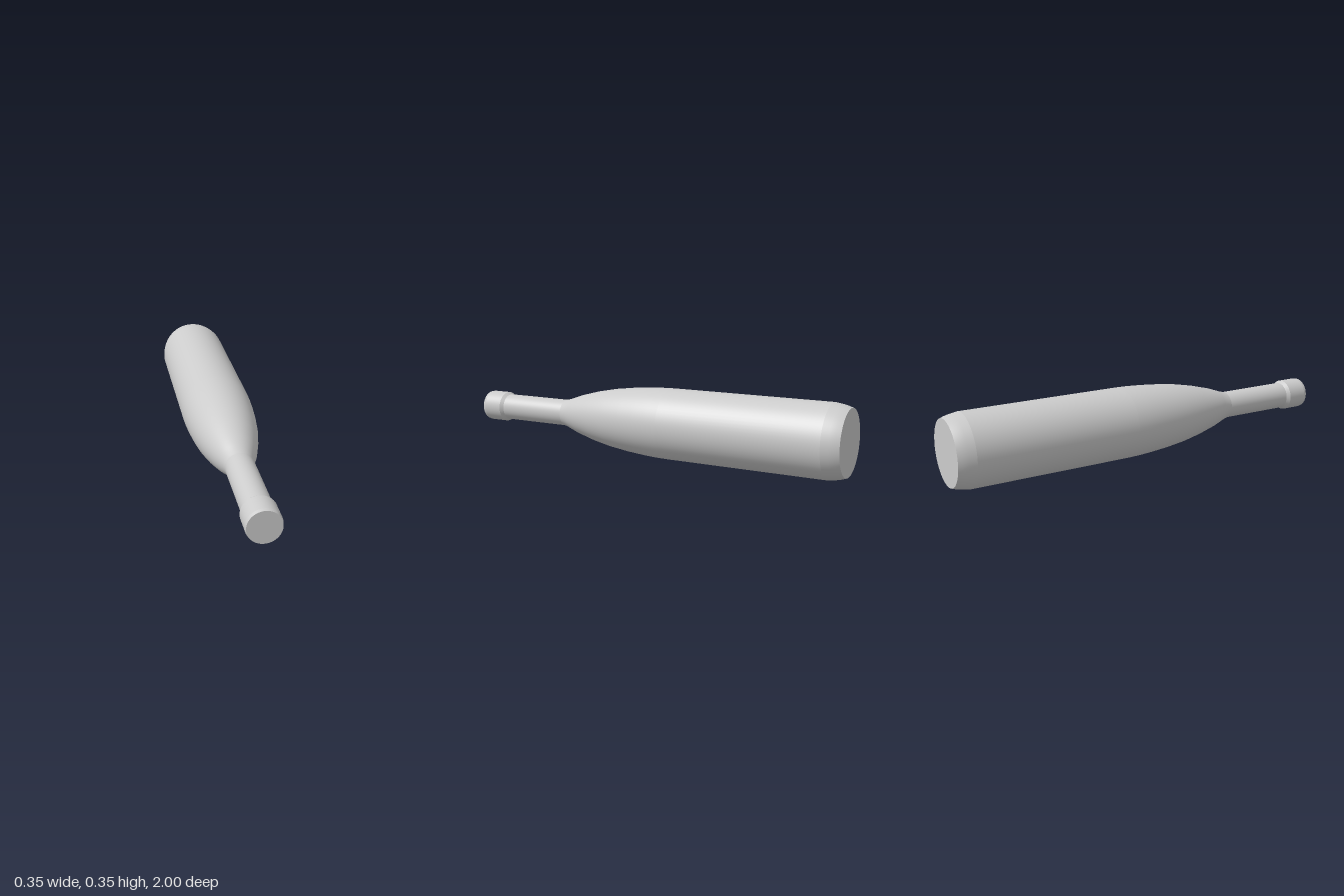
import * as THREE from 'three';

const SEGMENTS = 64;
const material = new THREE.MeshStandardMaterial({ color: 0xcccccc });

// Turned section: [radius, z] pairs running from the base to the mouth
function turned(name, profile) {
  const points = profile.map(([r, z]) => new THREE.Vector2(r, z));
  const geometry = new THREE.LatheGeometry(points, SEGMENTS).rotateX(Math.PI / 2);
  const mesh = new THREE.Mesh(geometry, material);
  mesh.name = name;
  return mesh;
}

// Flat end disc, facing +z or -z
function disc(name, radius, z) {
  const geometry = new THREE.CircleGeometry(radius, SEGMENTS);
  if (z < 0) geometry.rotateY(Math.PI);
  const mesh = new THREE.Mesh(geometry, material);
  mesh.name = name;
  mesh.position.z = z;
  return mesh;
}

export function createModel() {
  const bottle = new THREE.Group();
  bottle.name = 'bottle';
  bottle.add(
    disc('base', 0.155, -1),
    // Rounded heel between base and body
    turned('heel', [[0.155, -1], [0.162, -0.98], [0.168, -0.955], [0.1735, -0.92]]),
    turned('body', [[0.1735, -0.92], [0.1735, -0.12]]),
    // Long shoulder tapering into the neck
    turned('shoulder', [
      [0.1735, -0.12], [0.172, -0.06], [0.168, 0.01], [0.16, 0.1], [0.147, 0.2],
      [0.127, 0.3], [0.1, 0.4], [0.082, 0.45], [0.073, 0.475], [0.067, 0.5],
    ]),
    turned('neck', [[0.067, 0.5], [0.067, 0.87]]),
    // Thicker collar around the mouth
    turned('lipStep', [[0.067, 0.87], [0.078, 0.888]]),
    turned('lip', [[0.078, 0.888], [0.078, 0.985]]),
    turned('lipBevel', [[0.078, 0.985], [0.0745, 1]]),
    disc('mouth', 0.0745, 1),
  );
  // Lying on its side
  bottle.position.y = 0.176;

  const model = new THREE.Group();
  model.name = 'lyingBottle';
  model.add(bottle);
  return model;
}
